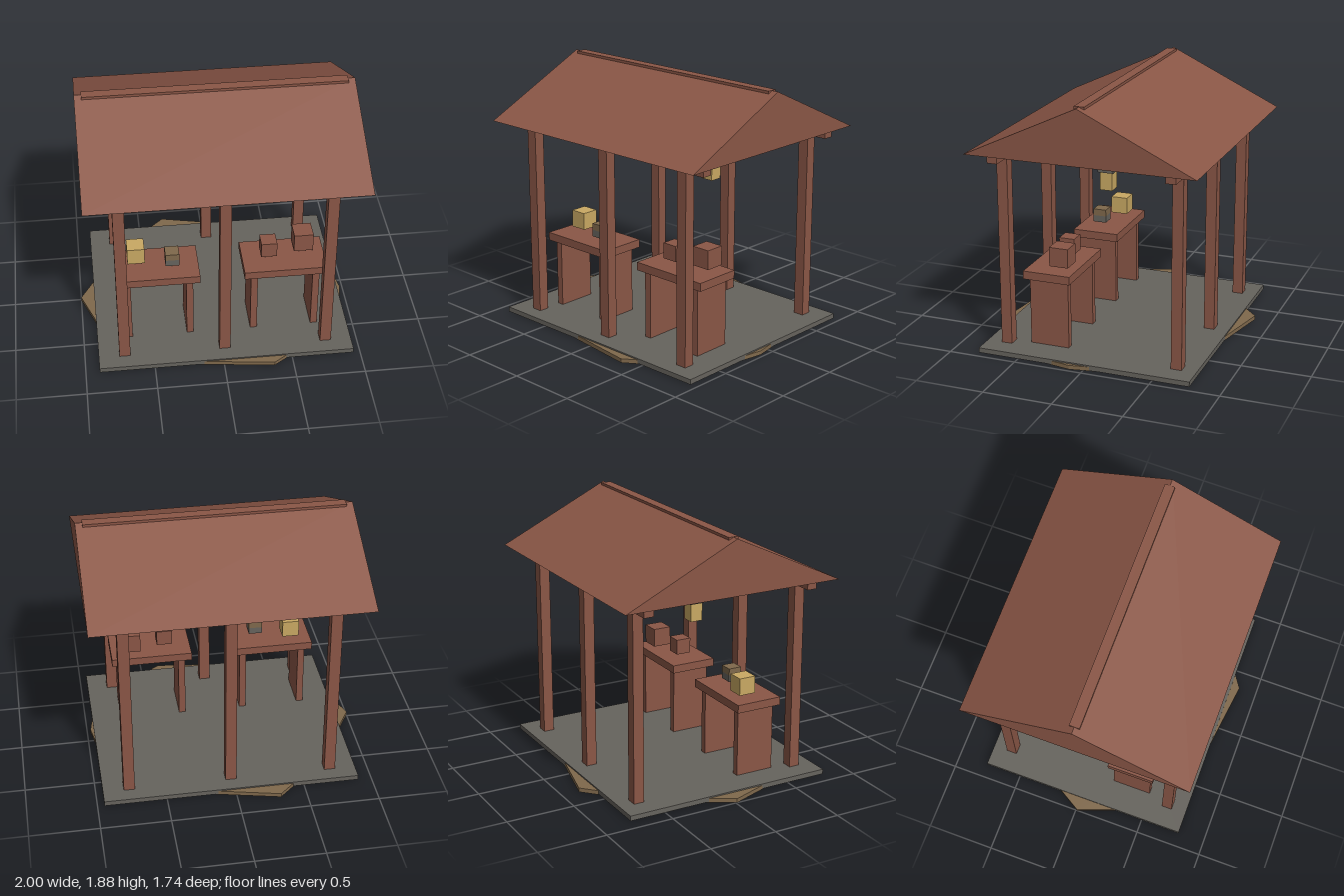
import * as THREE from 'three';

const mat = (name, color) => {
  const m = new THREE.MeshStandardMaterial({ color });
  m.name = name;
  return m;
};

export function createModel() {
  const wood = mat('redBrownWood', 0x8a5646);
  const stone = mat('greyStone', 0x66635d);
  const glow = mat('paleYellow', 0xc9a963);
  const earth = mat('earth', 0x80694c);
  const root = new THREE.Group();
  root.name = 'marketStall';

  const mesh = (name, geo, material, parent = root) => {
    const m = new THREE.Mesh(geo, material);
    m.name = name;
    parent.add(m);
    return m;
  };
  // Box from its lower and upper bounds on each axis
  const box = (name, material, [x0, x1], [y0, y1], [z0, z1], parent = root) => {
    const m = mesh(name, new THREE.BoxGeometry(x1 - x0, y1 - y0, z1 - z0), material, parent);
    m.position.set((x0 + x1) / 2, (y0 + y1) / 2, (z0 + z1) / 2);
    return m;
  };
  const group = (name) => {
    const g = new THREE.Group();
    g.name = name;
    root.add(g);
    return g;
  };

  // Irregular patch of earth under the floor, outline as x, z
  const outline = [
    [-1, 0.01], [-0.82, 0.5], [-0.3, 0.78], [0.36, 0.865], [0.68, 0.65], [0.9, 0.52],
    [0.975, 0.1], [0.87, -0.5], [0.35, -0.72], [-0.31, -0.87], [-0.68, -0.53],
  ].map(([x, z]) => new THREE.Vector2(x, -z));
  const ground = new THREE.ExtrudeGeometry(new THREE.Shape(outline), { depth: 0.03, bevelEnabled: false });
  mesh('earthPatch', ground.rotateX(-Math.PI / 2), earth);

  // Floor slab
  box('floor', stone, [-0.9, 0.95], [0.004, 0.04], [-0.77, 0.8]);

  // Two rows of posts, each carrying a beam
  for (const z of [0.65, -0.625]) {
    for (const x of [-0.71, 0.02, 0.76]) {
      box('post', wood, [x - 0.04, x + 0.04], [0.04, 1.44], [z - 0.039, z + 0.039]);
    }
    box('beam', wood, [-0.9, 0.95], [1.42, 1.49], [z - 0.037, z + 0.037]);
  }

  // Solid gabled roof and its ridge cap
  const gable = new THREE.Shape([
    new THREE.Vector2(-0.83, 1.48), new THREE.Vector2(0.83, 1.48), new THREE.Vector2(0, 1.875),
  ]);
  const roof = new THREE.ExtrudeGeometry(gable, { depth: 1.95, bevelEnabled: false });
  mesh('roof', roof.rotateY(Math.PI / 2).translate(-0.95, 0, 0.01), wood);
  box('ridgeCap', wood, [-0.9, 0.95], [1.858, 1.877], [-0.027, 0.047]);

  // Tables with panel legs
  for (const x of [-0.44, 0.48]) {
    const table = group('table');
    box('tableTop', wood, [x - 0.3, x + 0.3], [0.54, 0.6], [0.17, 0.52], table);
    for (const side of [-1, 1]) {
      const lx = x + side * 0.225;
      box('tableLeg', wood, [lx - 0.025, lx + 0.025], [0.04, 0.54], [0.2, 0.49], table);
    }
  }

  // Goods above the tables
  box('yellowCrate', glow, [-0.65, -0.525], [0.63, 0.757], [0.237, 0.363]);
  box('stoneCrate', stone, [-0.38, -0.28], [0.63, 0.68], [0.315, 0.415]);
  box('stoneCrateUpper', earth, [-0.38, -0.28], [0.68, 0.73], [0.315, 0.415]);
  box('smallCrate', wood, [0.315, 0.43], [0.63, 0.745], [0.277, 0.392]);
  box('largeCrate', wood, [0.56, 0.7], [0.63, 0.77], [0.213, 0.353]);

  // Hanging lanterns
  const around = (c, w) => [c - w / 2, c + w / 2];
  for (const x of [-0.375, 0.42]) {
    const lantern = group('lantern');
    box('lanternGlass', glow, around(x, 0.09), [1.155, 1.285], around(0.015, 0.09), lantern);
    box('lanternCap', stone, around(x, 0.115), [1.285, 1.31], around(0.015, 0.115), lantern);
    box('lanternRod', wood, around(x, 0.013), [1.31, 1.435], around(0.015, 0.013), lantern);
  }
  return root;
}
